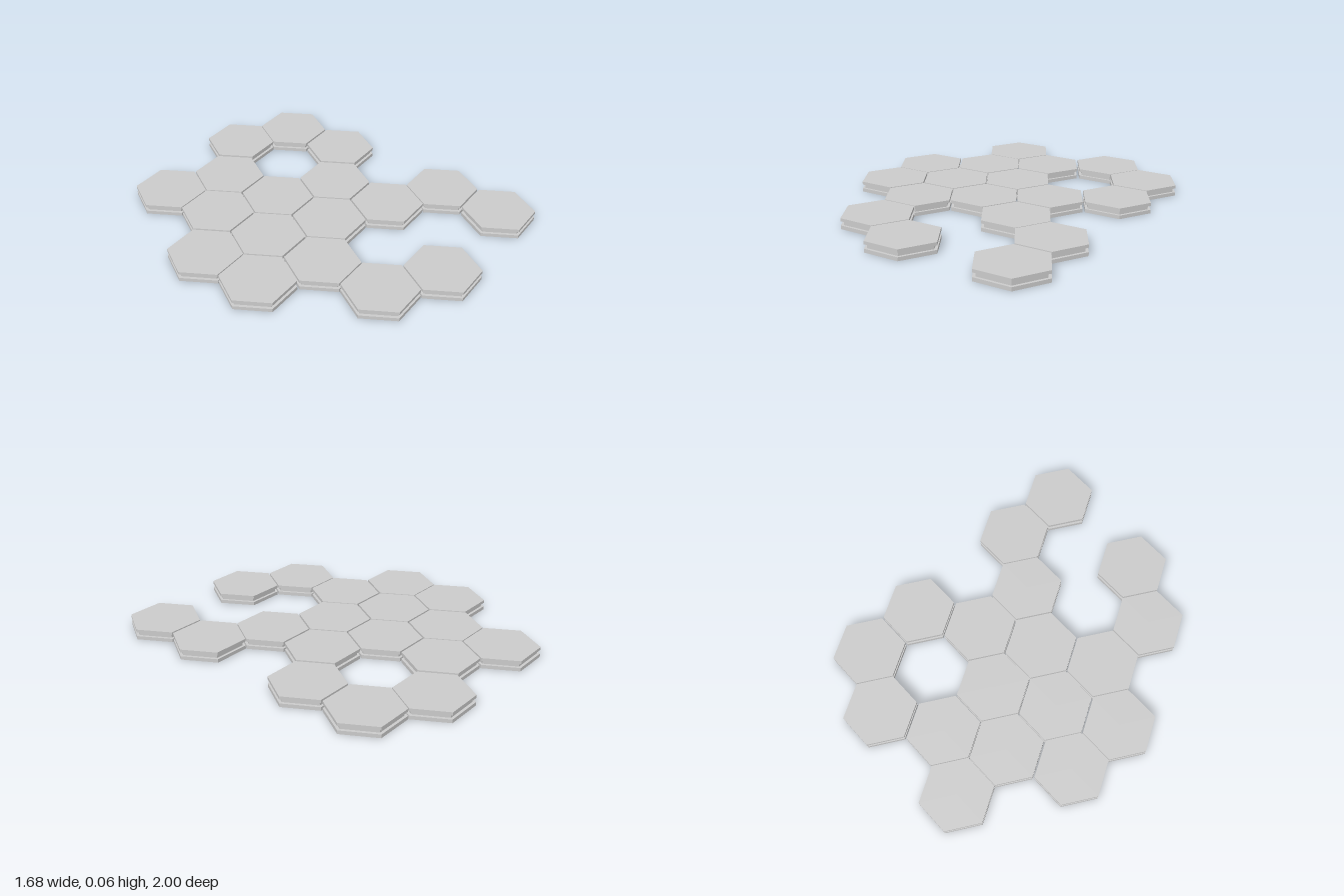
import * as THREE from 'three';

const RADIUS = 0.205;      // corner radius of the two outer plates
const CORE_RADIUS = 0.188; // corner radius of the recessed middle
const HEIGHT = 0.06;

// Tile centres [x, z], grouped by column from left to right
const TILES = [
  [-0.634, -0.278], [-0.634, 0.083],
  [-0.318, -0.824], [-0.318, -0.463], [-0.318, -0.098], [-0.318, 0.268], [-0.318, 0.63],
  [-0.003, -0.643], [-0.003, -0.278], [-0.003, 0.087], [-0.006, 0.815],
  [0.32, -0.825], [0.312, -0.096], [0.312, 0.27],
  [0.632, -0.645], [0.632, -0.279], [0.622, 0.454], [0.622, 0.82],
];

// Hexagonal tile: bottom plate, recessed groove and top plate in one profile
function tileGeometry() {
  const profile = [
    [0, 0], [RADIUS, 0], [RADIUS, 0.02],
    [CORE_RADIUS, 0.02], [CORE_RADIUS, 0.043],
    [RADIUS, 0.043], [RADIUS, HEIGHT], [0, HEIGHT],
  ].map(([r, y]) => new THREE.Vector2(r, y));
  // Start at +x so that corners point left and right
  return new THREE.LatheGeometry(profile, 6, Math.PI / 2);
}

export function createModel() {
  const model = new THREE.Group();
  model.name = 'hexTileCluster';
  const material = new THREE.MeshStandardMaterial({ color: 0xcccccc, flatShading: true });
  const geometry = tileGeometry();

  TILES.forEach(([x, z], i) => {
    const tile = new THREE.Mesh(geometry, material);
    tile.name = `hexTile${i + 1}`;
    tile.position.set(x, 0, z);
    model.add(tile);
  });
  return model;
}
